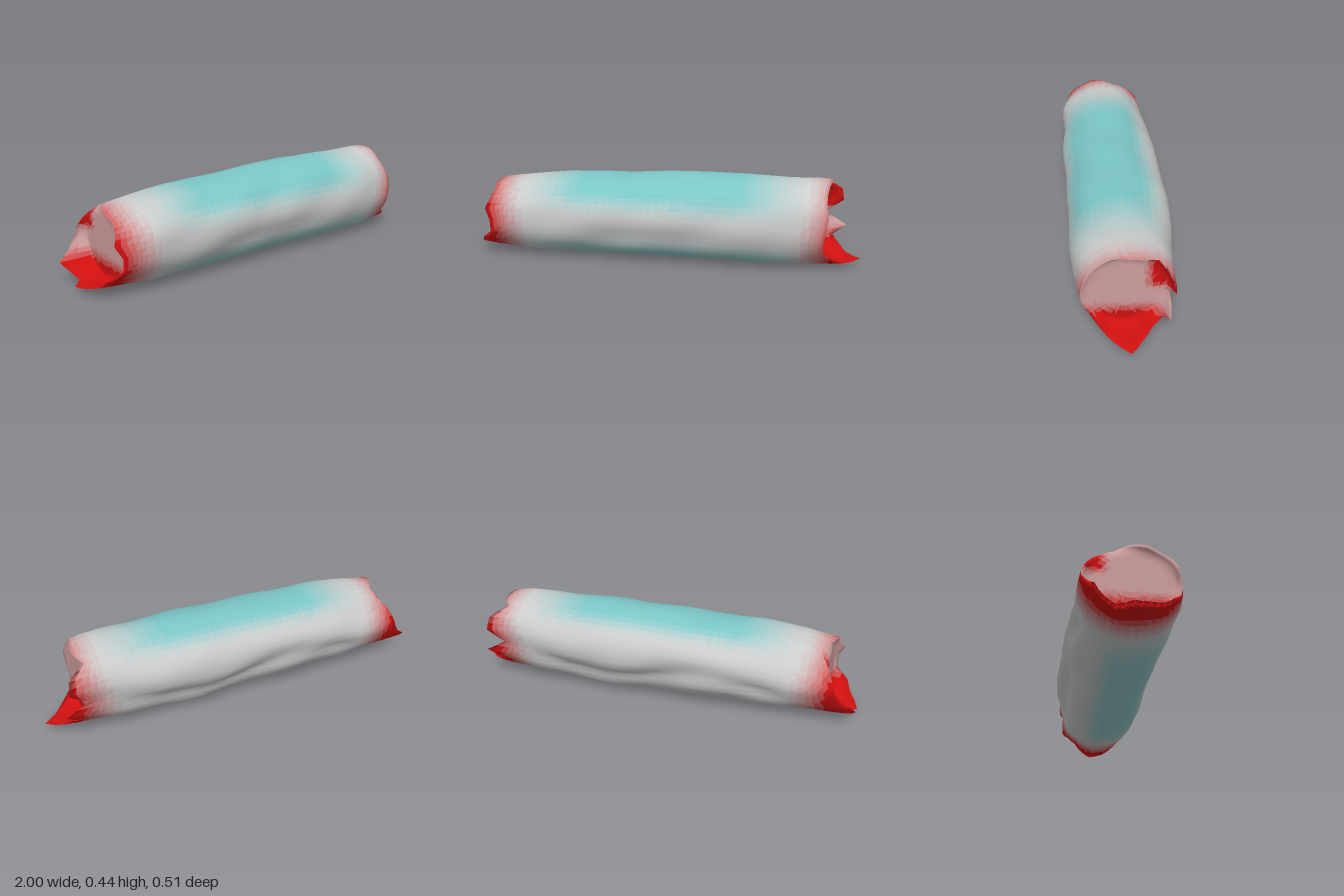
import * as THREE from 'three';

const SIDES = 20; // side 0 faces front, 5 is the top, 10 the back, 15 the underside
const COLUMNS = 40; // vertices around each ring

// Cross-sections along the log: x, top y, bottom y, front z, back z
const SECTIONS = [
  [-1, 0.36, 0.03, 0.2, -0.2], [-0.88, 0.375, 0.018, 0.22, -0.205], [-0.72, 0.397, 0.01, 0.247, -0.215],
  [-0.5, 0.42, 0.008, 0.243, -0.232], [-0.2, 0.423, 0.008, 0.252, -0.243], [0, 0.435, 0.006, 0.236, -0.238],
  [0.25, 0.442, 0.003, 0.235, -0.255], [0.45, 0.438, 0.002, 0.232, -0.24], [0.6, 0.437, 0.005, 0.228, -0.225],
  [0.76, 0.435, 0.008, 0.212, -0.22], [0.86, 0.425, 0.012, 0.195, -0.22], [1, 0.39, 0.03, 0.17, -0.205],
];

// Fullness of the outline, side by side, at the left end, the middle and the right end
const FULL_LEFT = [1, 1.01, 1, 0.99, 0.99, 1, 0.99, 0.97, 0.95, 0.97, 1, 0.95, 0.95, 0.97, 0.99, 1, 1, 1.01, 1.01, 1];
const FULL_MID = [1, 1.01, 1, 0.99, 0.99, 1, 1, 1.01, 1.05, 1.06, 1.01, 0.95, 0.95, 0.97, 0.99, 1, 1, 1.01, 1.01, 1];
const FULL_RIGHT = [0.97, 0.97, 0.95, 0.95, 0.98, 1, 1.03, 1.04, 1.1, 1.02, 0.88, 0.93, 0.9, 0.86, 0.93, 1, 1, 0.96, 0.96, 0.97];

// How far the splintered rims reach, side by side
const RIGHT_RIM = [0.82, 0.83, 0.82, 0.82, 0.83, 0.85, 0.85, 0.82, 0.9, 0.91, 0.82, 0.93, 0.86, 0.89, 0.93, 1, 0.93, 0.87, 0.81, 0.81];
const LEFT_RIM = [-0.87, -0.9, -0.88, -0.87, -0.88, -0.86, -0.81, -0.82, -0.86, -0.88, -0.9, -0.94, -1, -0.97, -0.95, -1, -0.98, -0.95, -0.93, -0.87];
const RIGHT_CORE = 0.81, LEFT_CORE = -0.85;

const { lerp, smoothstep } = THREE.MathUtils;

// Value of a side table at a fractional side
function sideValue(table, j) {
  const i = Math.floor(j);
  return lerp(table[i], table[(i + 1) % SIDES], j - i);
}

function section(x) {
  let i = 0;
  while (i < SECTIONS.length - 2 && x > SECTIONS[i + 1][0]) i++;
  const a = SECTIONS[i], b = SECTIONS[i + 1];
  const t = (x - a[0]) / (b[0] - a[0]);
  return a.map((v, k) => lerp(v, b[k], t));
}

// Point on the lumpy bark, with scale shrinking towards the core
function barkPoint(x, j, scale = 1) {
  const [, top, bottom, front, back] = section(x);
  const a = (j / SIDES) * Math.PI * 2;
  const round = (v) => Math.sign(v) * Math.abs(v) ** 0.95;
  const end = x < 0 ? FULL_LEFT : FULL_RIGHT;
  const toEnd = x < 0 ? smoothstep(-x, 0.2, 0.5) : smoothstep(x, 0.6, 0.85);
  const full = lerp(sideValue(FULL_MID, j), sideValue(end, j), toEnd);
  const waves = 0.014 * Math.sin(x * 9 + a * 3) * Math.cos(a * 5 - x * 5) + 0.01 * Math.sin(x * 15 - a * 4 + 1);
  const frontDent = 0.08 * Math.exp(-(((x + 0.12) / 0.3) ** 2)) * Math.exp(-((j - 18.7) ** 2));
  const backGroove = 0.09 * Math.exp(-((j - 10.9 - Math.sin(x * 6) * 0.7) ** 2) * 2) * (1 - smoothstep(Math.abs(x), 0.5, 0.8));
  const s = scale * (full + waves - frontDent - backGroove);
  return [x, (top + bottom) / 2 + (top - bottom) / 2 * s * round(Math.sin(a)),
    (front + back) / 2 + (front - back) / 2 * s * round(Math.cos(a))];
}

// One closed ring of points; fn receives the fractional side
const ring = (fn) => Array.from({ length: COLUMNS }, (_, i) => fn((i * SIDES) / COLUMNS));

// Broken wood core and the inside of a splintered rim, from the centre out
const endRings = (rim, core) => [
  ring(() => [core, 0.21, 0]),
  ...[0.12, 0.25, 0.4, 0.55, 0.7, 0.85].map((s) => ring((j) => barkPoint(core, j, s))),
  ring((j) => barkPoint(lerp(core, sideValue(rim, j), 0.5), j, 0.94)),
];

// Smooth skin over closed rings of points
function skin(rings) {
  const index = [];
  for (let i = 0; i < rings.length - 1; i++) {
    for (let j = 0; j < COLUMNS; j++) {
      const a = i * COLUMNS + j, b = i * COLUMNS + (j + 1) % COLUMNS;
      const c = a + COLUMNS, d = b + COLUMNS;
      index.push(a, c, b, b, c, d);
    }
  }
  const geometry = new THREE.BufferGeometry();
  geometry.setAttribute('position', new THREE.Float32BufferAttribute(rings.flat(2), 3));
  geometry.setIndex(index);
  geometry.computeVertexNormals();
  return geometry;
}

// Moss lies along the top front and along the underside
function mossAmount(x, j) {
  const band = (mid, half) => 1 - smoothstep(Math.abs(j - mid), half - 1, half + 1);
  const along = (mid, half) => 1 - smoothstep(Math.abs(x - mid), half - 0.2, half + 0.2);
  return Math.max(band(4.3, 3.1) * along(0, 0.56), 0.75 * band(16.2, 2.2) * along(0.03, 0.62));
}

// Tints: positive is red, negative is moss
function barkTint(x, y, z) {
  const side = ((Math.atan2(y - 0.215, z) / (Math.PI * 2)) * SIDES + SIDES) % SIDES;
  const shift = 0.07 * smoothstep(y, 0.15, 0.42);
  const red = smoothstep(Math.abs(x), 0.64 + shift, 0.88 + shift);
  return red > 0.06 ? red : -mossAmount(x, side);
}

function endTint(x, y, z) {
  const bottom = 1 - smoothstep(y, 0.08, 0.23);
  const backShoulder = smoothstep(-z, 0.03, 0.14) * smoothstep(y, 0.19, 0.27);
  return Math.max(0.4, bottom, backShoulder);
}

// Split rows of the skin into meshes by tint, keeping the shared smooth normals
function addTinted(group, geometry, name, firstRow, lastRow, tintOf) {
  const STEPS = 9;
  const pos = geometry.attributes.position;
  const parts = new Map();
  const index = geometry.index.array;
  for (let f = firstRow * COLUMNS * 6; f < lastRow * COLUMNS * 6; f += 3) {
    const tri = [index[f], index[f + 1], index[f + 2]];
    const [x, y, z] = ['getX', 'getY', 'getZ'].map((get) => tri.reduce((s, v) => s + pos[get](v), 0) / 3);
    const key = Math.round(tintOf(x, y, z) * STEPS);
    if (!parts.has(key)) parts.set(key, []);
    parts.get(key).push(...tri);
  }
  for (const [key, tris] of parts) {
    const part = new THREE.BufferGeometry();
    part.setAttribute('position', pos);
    part.setAttribute('normal', geometry.attributes.normal);
    part.setIndex(tris);
    const color = new THREE.Color(0xcccccc).lerp(new THREE.Color(key > 0 ? 0xd01010 : 0x7cc6c6), Math.abs(key) / STEPS);
    const mesh = new THREE.Mesh(part, new THREE.MeshStandardMaterial({ color, side: THREE.DoubleSide }));
    mesh.name = key === 0 ? name : `${name}${key > 0 ? 'Red' : 'Moss'}${Math.abs(key)}`;
    group.add(mesh);
  }
}

export function createModel() {
  const group = new THREE.Group();
  group.name = 'log';

  // One skin from the right core, over the rim, along the bark, into the left core
  const rings = endRings(RIGHT_RIM, RIGHT_CORE);
  const endRows = rings.length;
  for (let i = 5; i > 0; i--) rings.push(ring((j) => barkPoint(lerp(0.74, sideValue(RIGHT_RIM, j), i / 5), j)));
  for (let i = 0; i <= 40; i++) rings.push(ring((j) => barkPoint(lerp(0.74, -0.76, i / 40), j)));
  for (let i = 1; i <= 5; i++) rings.push(ring((j) => barkPoint(lerp(-0.76, sideValue(LEFT_RIM, j), i / 5), j)));
  rings.push(...endRings(LEFT_RIM, LEFT_CORE).reverse());
  const geometry = skin(rings);
  const rows = rings.length - 1;
  addTinted(group, geometry, 'rightEnd', 0, endRows, endTint);
  addTinted(group, geometry, 'bark', endRows, rows - endRows, barkTint);
  addTinted(group, geometry, 'leftEnd', rows - endRows, rows, endTint);

  // Rest on the ground and centre
  const box = new THREE.Box3().setFromObject(group);
  const center = box.getCenter(new THREE.Vector3());
  group.position.set(-center.x, -box.min.y, -center.z);
  return group;
}
